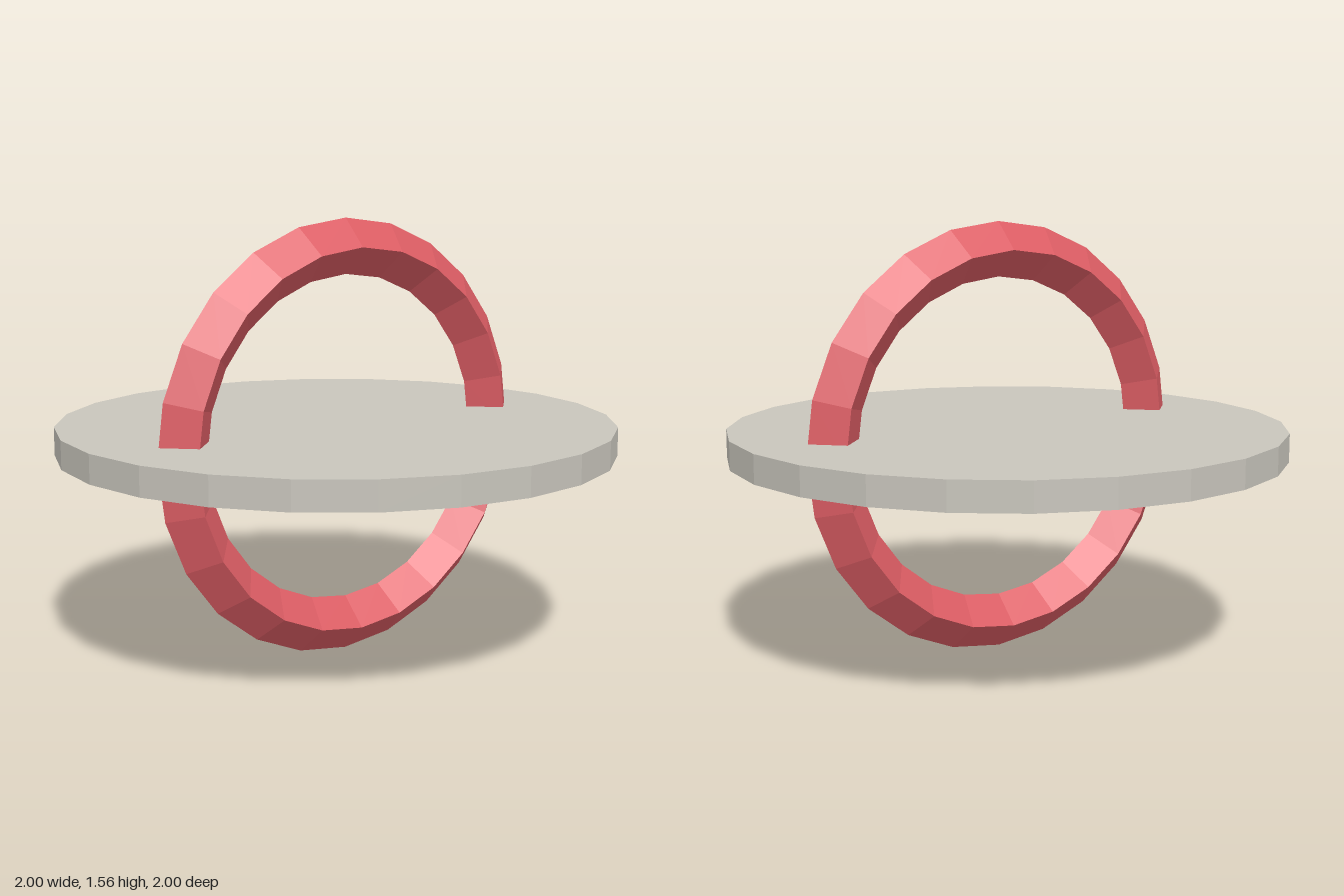
import * as THREE from 'three';

const CENTER_Y = 0.78;

export function createModel() {
  const group = new THREE.Group();
  const stone = new THREE.MeshStandardMaterial({ color: 0xc8c5bc, flatShading: true });
  stone.name = 'warm grey';
  const red = new THREE.MeshStandardMaterial({ color: 0xdc5d64, flatShading: true });
  red.name = 'coral red';

  // Thin 24-sided horizontal disc
  const disc = new THREE.Mesh(new THREE.CylinderGeometry(1, 1, 0.102, 24), stone);
  disc.name = 'disc';
  disc.position.y = CENTER_Y + 0.003;

  // Upright ring with a diamond cross-section, passing through the disc
  const ring = new THREE.Mesh(new THREE.TorusGeometry(0.682, 0.098, 4, 24), red);
  ring.name = 'ring';
  ring.position.set(0, CENTER_Y, 0.056);

  group.add(disc, ring);
  return group;
}
